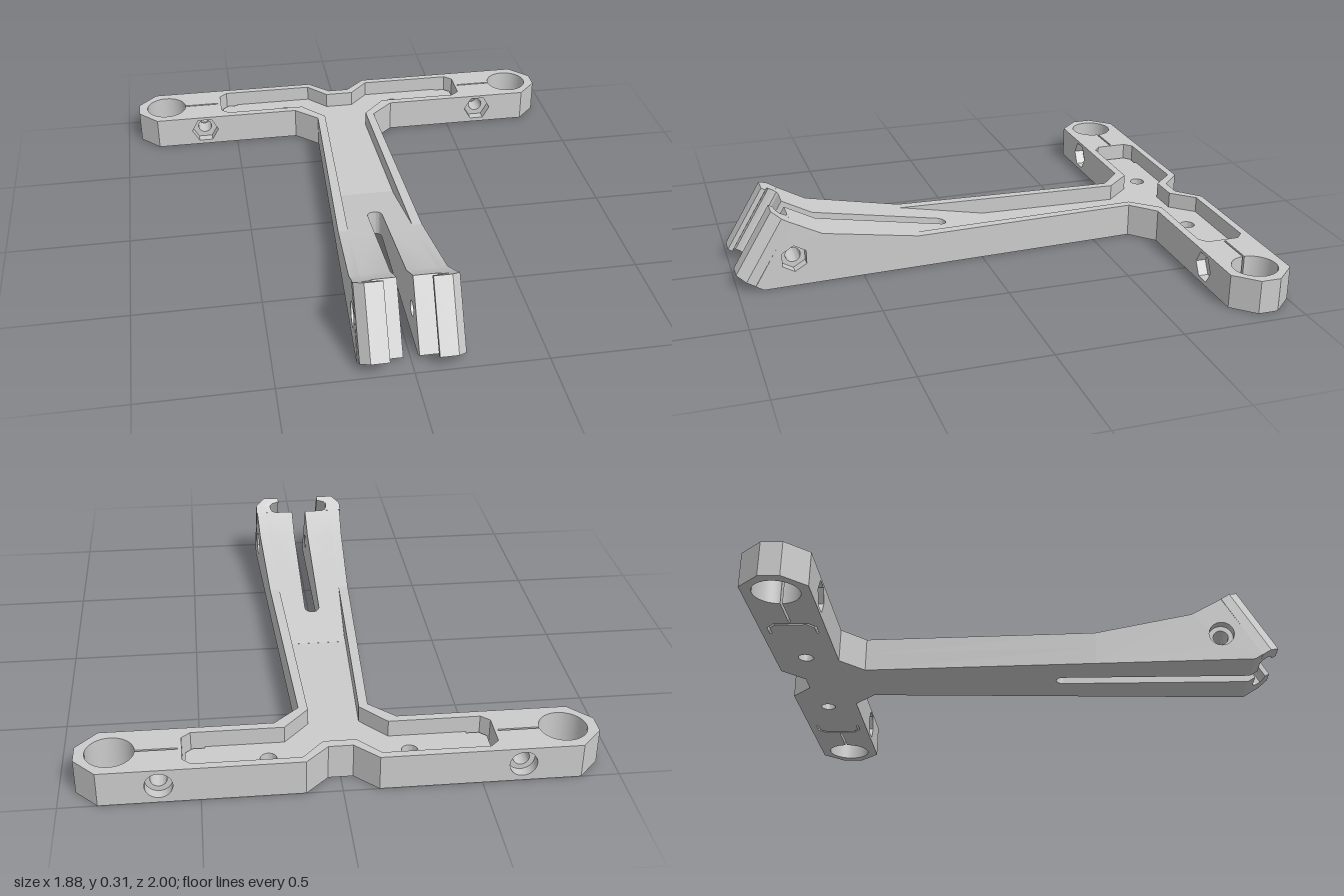
import * as THREE from 'three';
import { toCreasedNormals } from 'three/addons/utils/BufferGeometryUtils.js';

const material = new THREE.MeshStandardMaterial({ color: 0xcccccc });
const H = 0.135;      // plate height
const FLOOR = 0.07;   // pocket floor height
const SLOT = 0.03;    // half width of the stem slot

// Points along an arc
function arc(cx, cy, r, a0, a1, n = 24) {
  return Array.from({ length: n + 1 }, (_, i) => {
    const a = a0 + (a1 - a0) * i / n;
    return [cx + r * Math.cos(a), cy + r * Math.sin(a)];
  });
}
const circle = (cx, cy, r) => arc(cx, cy, r, 0, Math.PI * 2 * 31 / 32, 31);
const hexagon = (cx, cy, r, turn = 0) => arc(cx, cy, r, turn, turn + Math.PI * 5 / 3, 5);
const mirrored = (pts) => pts.map(([x, y]) => [-x, y]).reverse();

// Extrudes an outline by one unit, then places every point (a, b, t) with a rule
function solid(name, outline, holes, place) {
  const vecs = (pts) => pts.map(([x, y]) => new THREE.Vector2(x, y));
  const shape = new THREE.Shape(vecs(outline));
  holes.forEach((h) => shape.holes.push(new THREE.Path(vecs(h))));
  const geo = new THREE.ExtrudeGeometry(shape, { depth: 1, bevelEnabled: false });
  const pos = geo.attributes.position;
  const p = [];
  for (let i = 0; i < pos.count; i++) {
    p.push(new THREE.Vector3(...place(pos.getX(i), pos.getY(i), pos.getZ(i))));
  }
  // Keep the faces turned outward when the rule mirrors the shape
  let volume = 0;
  for (let i = 0; i < p.length; i += 3) {
    volume += p[i].dot(new THREE.Vector3().crossVectors(p[i + 1], p[i + 2]));
  }
  for (let i = 0; i < p.length; i += 3) {
    if (volume < 0) [p[i + 1], p[i + 2]] = [p[i + 2], p[i + 1]];
  }
  const out = new THREE.BufferGeometry().setFromPoints(p);
  const mesh = new THREE.Mesh(toCreasedNormals(out, 0.5), material);
  mesh.name = name;
  return mesh;
}

// Outer half width of the tapering stem, and height of its ramped top
const stemX = (z) => 0.13 + 0.065 * (z + 0.67) / 1.52;
const rampY = (z) => H + (z - 0.27) * 0.07 / 0.39;

export function createModel() {
  const group = new THREE.Group();
  const slab = (y0, y1, side = 1) => (a, b, t) => [side * a, y0 + (y1 - y0) * t, b];

  // Half outlines, from the back centre round to the stem (x, z)
  const outer = [[0.045, -0.917], [0.13, -1], [0.575, -1], [0.575, -0.75],
    [0.225, -0.75], [0.13, -0.66], [stemX(0.27), 0.27]];
  const pocket = [[0.06, -0.882], [0.14, -0.97], [0.53, -0.97], [0.562, -0.94],
    [0.562, -0.81], [0.53, -0.782], [0.19, -0.782], [0.095, -0.675], [0.13, 0.27]];
  const slotEnd = [[SLOT, 0.27], ...arc(0, 0.14, SLOT, 0, -Math.PI), [-SLOT, 0.27]];

  // Base plate with screw holes and the thin gaps at the pocket ends
  const gap = [[0.48, -0.97], [0.53, -0.97], [0.562, -0.94], [0.562, -0.81],
    [0.53, -0.782], [0.48, -0.782], [0.48, -0.791], [0.526, -0.791],
    [0.552, -0.815], [0.552, -0.936], [0.526, -0.961], [0.48, -0.961]];
  group.add(solid('basePlate', [...outer, ...slotEnd, ...mirrored(outer)],
    [gap, mirrored(gap), circle(0.255, -0.875, 0.03), circle(-0.255, -0.875, 0.03)],
    slab(0, FLOOR)));

  // Raised rim round the pocket
  group.add(solid('pocketRim',
    [...outer, ...[...pocket].reverse(), ...mirrored(pocket).reverse(), ...mirrored(outer)],
    [], slab(FLOOR, H)));

  // Ramp that lifts the pocket floor to the stem top
  const rampSide = [[0.115, -0.09], [0.13, 0.27]];
  group.add(solid('floorRamp', [...rampSide, ...slotEnd, ...mirrored(rampSide)], [],
    (x, z, t) => [x, FLOOR + t * Math.max(0, rampY(z) - FLOOR), z]));

  for (const side of [1, -1]) {
    const half = new THREE.Group();
    half.name = side > 0 ? 'leftHalf' : 'rightHalf';
    group.add(half);

    // Ring clamp at the bar end, split by a thin slit
    const ring = [[0.715, -0.879], [0.715, -1], [0.86, -1], [0.94, -0.915], [0.94, -0.835],
      [0.86, -0.75], [0.715, -0.75], [0.715, -0.871],
      ...arc(0.815, -0.875, 0.088, Math.PI - 0.045, -Math.PI + 0.045, 40)];
    half.add(solid('ringClamp', ring, [], slab(0, H, side)));

    // Bolt block: round counterbore at the back, hex nut recess at the front
    const block = [[0.575, 0], [0.715, 0], [0.715, H], [0.575, H]];
    const bolt = [0.645, 0.07];
    const slices = [
      [-1, -0.96, circle(...bolt, 0.05)],
      [-0.96, -0.879, circle(...bolt, 0.03)],
      [-0.871, -0.79, circle(...bolt, 0.03)],
      [-0.79, -0.75, hexagon(...bolt, 0.06)],
    ];
    for (const [z0, z1, hole] of slices) {
      half.add(solid('boltBlock', block, [hole],
        (x, y, t) => [side * x, y, z0 + (z1 - z0) * t]));
    }

    // Forked stem arm in side outline (z, y), with a cross bolt hole
    const arm = [[0.27, 0], [0.9, 0], [0.931, 0.019], [0.781, 0.269], [0.66, 0.205], [0.27, H]];
    const cross = [0.775, 0.115];
    const recess = side > 0 ? hexagon(...cross, 0.055, Math.PI / 2) : circle(...cross, 0.05);
    half.add(solid('stemArm', arm, [circle(...cross, 0.03)],
      (z, y, t) => [side * (SLOT + t * (stemX(z) - 0.04 - SLOT)), y, z]));
    half.add(solid('stemArmOuter', arm, [recess],
      (z, y, t) => [side * (stemX(z) - 0.04 * (1 - t)), y, z]));

    // Tilted jaw: section (x, depth) swept up the slanted front
    const jaw = [[0.195, 0.08], [0.195, 0.04], [0.16, 0], [0.09, 0], [0.09, 0.02],
      [0.12, 0.03], [0.13, 0.04], [0.13, 0.06], [0.122, 0.074], [0.108, 0.08]];
    half.add(solid('jaw', jaw, [],
      (x, d, t) => [side * x, 0.06 + 0.25 * t - 0.51 * d, 1 - 0.15 * t - 0.86 * d]));
  }
  return group;
}
